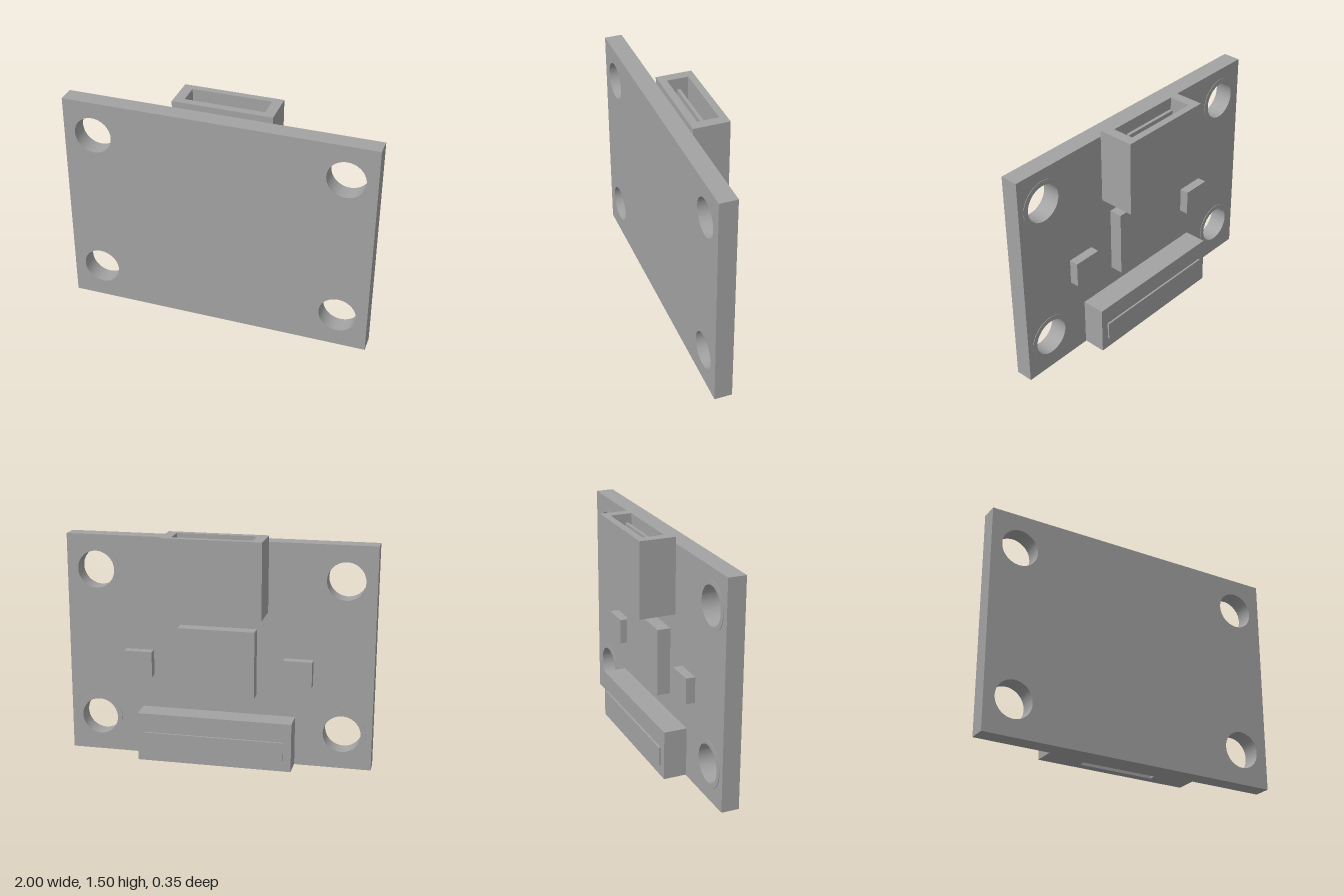
import * as THREE from 'three';
import { toCreasedNormals } from 'three/addons/utils/BufferGeometryUtils.js';

const grey = new THREE.MeshStandardMaterial({ color: 0xa3a3a3 });
grey.name = 'grey';

function rect(Type, x0, x1, y0, y1) {
  const p = new Type();
  p.moveTo(x0, y0).lineTo(x1, y0).lineTo(x1, y1).lineTo(x0, y1).closePath();
  return p;
}

function extrude(shape, depth) {
  const g = new THREE.ExtrudeGeometry(shape, { depth, bevelEnabled: false, curveSegments: 48 });
  return toCreasedNormals(g, 0.5);
}

export function createModel() {
  const model = new THREE.Group();
  model.name = 'circuitBoard';

  const add = (name, geometry) => {
    const mesh = new THREE.Mesh(geometry, grey);
    mesh.name = name;
    model.add(mesh);
    return mesh;
  };
  const box = (name, x0, x1, y0, y1, z0, z1) =>
    add(name, new THREE.BoxGeometry(x1 - x0, y1 - y0, z1 - z0))
      .position.set((x0 + x1) / 2, (y0 + y1) / 2, (z0 + z1) / 2);
  // Rectangular sleeve running along y, open at both ends
  const sleeve = (name, half, z0, z1, holeHalf, h0, h1, y0, y1) => {
    const s = rect(THREE.Shape, -half, half, -z1, -z0);
    s.holes.push(rect(THREE.Path, -holeHalf, holeHalf, -h1, -h0));
    add(name, extrude(s, y1 - y0).rotateX(-Math.PI / 2)).position.y = y0;
  };

  // Board with four mounting holes, each with a thin pad ring on the back
  const board = rect(THREE.Shape, -1, 1, 0, 1.46);
  for (const x of [-0.807, 0.807]) {
    for (const y of [0.233, 1.233]) {
      board.holes.push(new THREE.Path().absarc(x, y, 0.121, 0, Math.PI * 2, true));
      const ring = new THREE.Shape().absarc(0, 0, 0.154, 0, Math.PI * 2, false);
      ring.holes.push(new THREE.Path().absarc(0, 0, 0.121, 0, Math.PI * 2, true));
      add('holePad', extrude(ring, 0.003)).position.set(x, y, 0.057);
    }
  }
  add('board', extrude(board, 0.115)).position.z = 0.06;

  // Upper socket: solid base, open sleeve and inner tongue
  box('socketBase', -0.32, 0.32, 1.01, 1.1, -0.175, 0.06);
  sleeve('socketShell', 0.32, -0.175, 0.06, 0.255, -0.13, 0.01, 1.1, 1.5);
  box('socketTongue', -0.195, 0.195, 1.1, 1.46, -0.055, -0.035);

  // Lower connector with a slot underneath and a raised strip behind
  box('connectorBody', -0.505, 0.505, 0.1, 0.325, -0.09, 0.06);
  sleeve('connectorSlot', 0.505, -0.09, 0.06, 0.25, -0.037, 0.007, 0.004, 0.1);
  box('connectorStrip', -0.455, 0.455, 0.08, 0.2, -0.102, -0.09);

  // Main chip and the two small side components
  box('mainChip', -0.25, 0.25, 0.455, 0.895, -0.025, 0.06);
  for (const s of [-1, 1]) {
    box('sideComponent', s * 0.522 - 0.093, s * 0.522 + 0.093, 0.547, 0.715, 0, 0.06);
  }
  return model;
}
